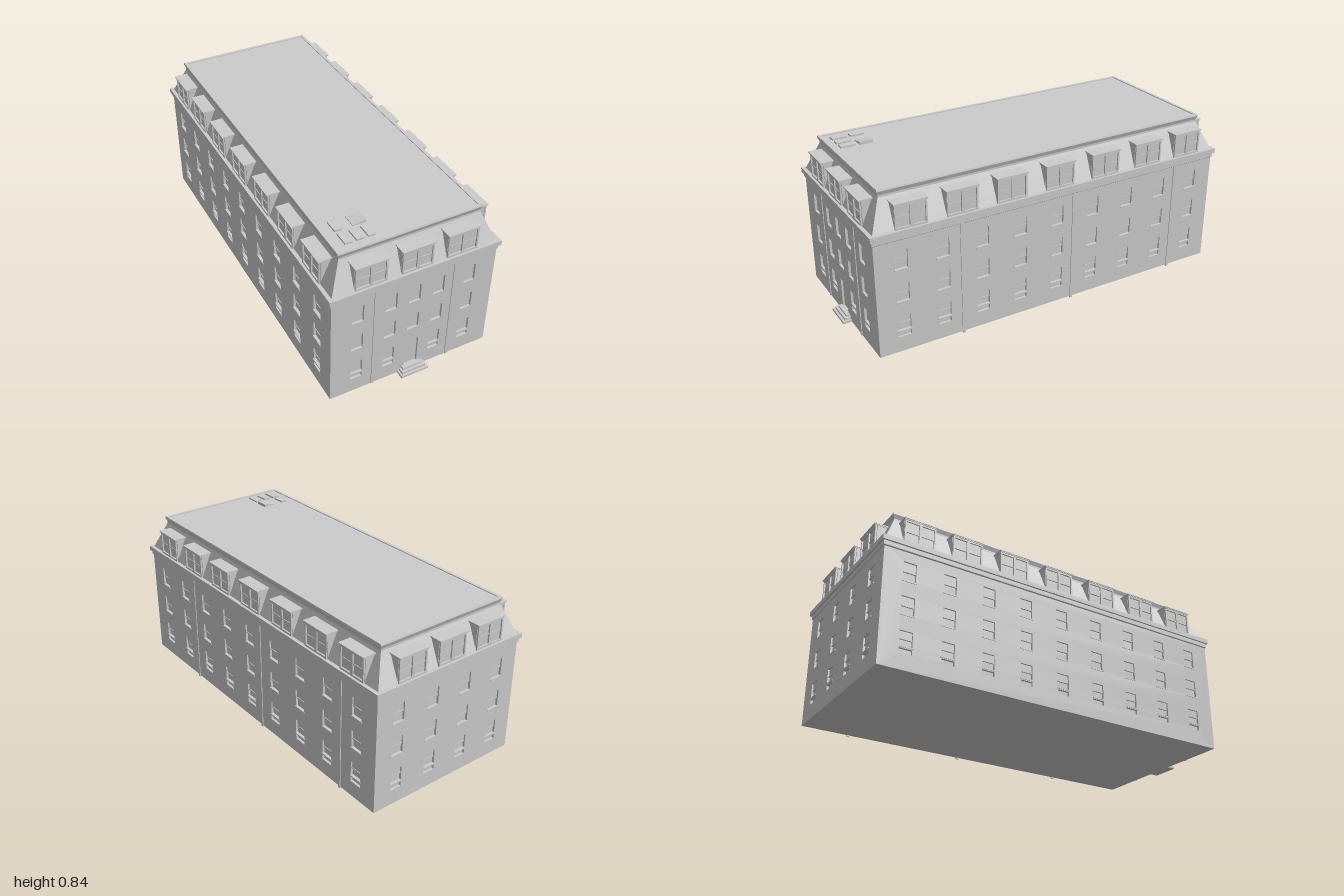
import * as THREE from 'three';

const mat = new THREE.MeshStandardMaterial({ color: 0xcccccc, flatShading: true, side: THREE.DoubleSide });
const HX = 0.43, HZ = 0.97, CZ = -0.015;     // wall half sizes and centre in z
const BASE = 0.008, EAVES = 0.6, REVEAL = 0.012;

function add(parent, name, geometry) {
  const mesh = new THREE.Mesh(geometry, mat);
  mesh.name = name;
  parent.add(mesh);
  return mesh;
}

// box given by its limits on each axis
function block(parent, name, x0, x1, y0, y1, z0, z1) {
  const mesh = add(parent, name, new THREE.BoxGeometry(x1 - x0, y1 - y0, z1 - z0));
  mesh.position.set((x0 + x1) / 2, (y0 + y1) / 2, (z0 + z1) / 2);
  return mesh;
}

function rectangle(Type, x0, x1, y0, y1) {
  const p = new Type();
  p.moveTo(x0, y0);
  p.lineTo(x1, y0);
  p.lineTo(x1, y1);
  p.lineTo(x0, y1);
  p.closePath();
  return p;
}

// flat panel with rectangular openings, its outer face at z = front
function panel(parent, name, outline, holes, depth, front) {
  const shape = rectangle(THREE.Shape, ...outline);
  for (const h of holes) shape.holes.push(rectangle(THREE.Path, ...h));
  const geo = new THREE.ExtrudeGeometry(shape, { depth, bevelEnabled: false });
  geo.translate(0, 0, front - depth);
  return add(parent, name, geo);
}

// rectangular rings [half width, y] joined by quads and capped on top
function ringStack(profile) {
  const pos = [];
  const corners = ([h, y]) => [[-1, 1], [1, 1], [1, -1], [-1, -1]]
    .map(([sx, sz]) => [sx * h, y, CZ + sz * (h + HZ - HX)]);
  const quad = (a, b, c, d) => pos.push(...a, ...b, ...c, ...a, ...c, ...d);
  for (let i = 0; i < profile.length - 1; i++) {
    const lo = corners(profile[i]), hi = corners(profile[i + 1]);
    for (let k = 0; k < 4; k++) quad(lo[k], lo[(k + 1) % 4], hi[(k + 1) % 4], hi[k]);
  }
  quad(...corners(profile[profile.length - 1]));
  const geo = new THREE.BufferGeometry();
  geo.setAttribute('position', new THREE.Float32BufferAttribute(pos, 3));
  geo.computeVertexNormals();
  return geo;
}

const floors = [[0.122, 0.197], [0.277, 0.368], [0.447, 0.543]];
const basement = [0.088, 0.112];

// one facade, built facing +z with its outer face at z = 0
function facade(name, halfWidth, columns, { width = 0.06, door = false, rails = true } = {}) {
  const wall = new THREE.Group();
  wall.name = name;
  const holes = [];
  for (const u of columns) {
    const isDoor = door && u === 0;
    const x0 = u - width / 2, x1 = u + width / 2;
    floors.forEach(([y0, y1], level) => {
      if (isDoor && level === 0) return;
      holes.push([x0, x1, y0, y1]);
      const mid = (y0 + y1) / 2;
      if (rails) {
        block(wall, 'meetingRail', x0, x1, mid - 0.003, mid + 0.003, -REVEAL, -0.005);
        block(wall, 'upperSash', x0, x1, mid, y1, -REVEAL, -0.008);
        block(wall, 'windowSill', x0 - 0.004, x1 + 0.004, y0 - 0.006, y0, -0.004, 0.003);
      }
    });
    if (!isDoor) holes.push([x0, x1, ...basement]);
  }
  if (door) holes.push([-0.033, 0.037, 0.042, 0.197]);
  panel(wall, 'wallPanel', [-halfWidth, halfWidth, BASE, EAVES], holes, REVEAL, 0);
  return wall;
}

function downpipe(parent, u, bottom) {
  block(parent, 'downpipe', u - 0.007, u + 0.007, bottom, EAVES, -0.004, 0.004);
}

// flat-roofed dormer with a pair of sash windows, facing +z
function dormer(u) {
  const g = new THREE.Group();
  g.name = 'dormer';
  const w = 0.08, y0 = 0.645, y1 = 0.765;
  const panes = [[-0.072, -0.006, 0.655, 0.757], [0.008, 0.072, 0.655, 0.757]];
  block(g, 'dormerBody', -w, w, y0, y1, -0.062, -0.008);
  panel(g, 'dormerFrame', [-w, w, y0, y1], panes, 0.008, 0.002);
  for (const [x0, x1] of panes) {
    block(g, 'dormerRail', x0, x1, 0.702, 0.708, -0.008, -0.002);
    block(g, 'dormerUpperSash', x0, x1, 0.705, 0.757, -0.008, -0.005);
  }
  block(g, 'dormerMoulding', -w - 0.002, w + 0.002, y1, 0.77, -0.062, 0.005);
  block(g, 'dormerRoof', -w - 0.005, w + 0.005, 0.77, 0.775, -0.062, 0.008);
  g.position.x = u;
  return g;
}

export function createModel() {
  const model = new THREE.Group();
  model.name = 'mansardBuilding';

  // solid core, seen as the glass behind the window openings
  block(model, 'core', -HX + REVEAL, HX - REVEAL, BASE, EAVES,
    CZ - HZ + REVEAL, CZ + HZ - REVEAL);

  // facades
  const sideColumns = Array.from({ length: 9 }, (_, i) => (i - 4) * 0.2095);
  const front = facade('frontWall', HX, [-0.295, -0.124, 0, 0.126, 0.293], { door: true, rails: false });
  const back = facade('backWall', HX, [-0.305, -0.1, 0.1, 0.305], { width: 0.065 });
  const left = facade('leftWall', HZ - REVEAL, sideColumns, { width: 0.066 });
  const right = facade('rightWall', HZ - REVEAL, sideColumns, { width: 0.066 });

  // downpipes on the front and on the +x side
  for (const u of [-0.207, 0.207]) downpipe(front, u, BASE);
  for (const z of [0.516, -0.107, -0.74]) downpipe(left, CZ - z, 0);

  // dormers
  for (const wall of [front, back]) {
    for (const u of [-0.235, 0, 0.235]) wall.add(dormer(u));
  }
  const dormerZ = [0.763, 0.505, 0.243, -0.026, -0.293, -0.557, -0.81];
  for (const z of dormerZ) {
    left.add(dormer(CZ - z));
    right.add(dormer(z - CZ));
  }

  // turn each facade to its side
  front.position.z = CZ + HZ;
  back.position.z = CZ - HZ;
  back.rotation.y = Math.PI;
  left.position.set(HX, 0, CZ);
  left.rotation.y = Math.PI / 2;
  right.position.set(-HX, 0, CZ);
  right.rotation.y = -Math.PI / 2;
  model.add(front, back, left, right);

  // eaves cornice, then mansard slope with its upper cornice and sunken deck
  add(model, 'eavesCornice', ringStack([
    [0.428, 0.592], [0.435, 0.598], [0.435, 0.62], [0.444, 0.62], [0.444, 0.645]]));
  add(model, 'mansardRoof', ringStack([
    [0.425, 0.645], [0.362, 0.79], [0.362, 0.8], [0.37, 0.82], [0.368, 0.828],
    [0.352, 0.828], [0.352, 0.824]]));

  // door and entrance steps
  block(model, 'door', -0.033, 0.037, 0.042, 0.197, 0.94, 0.945);
  const steps = [[0.074, 0.008, 0.02, 1.0], [0.064, 0.02, 0.032, 0.988], [0.054, 0.032, 0.042, 0.975]];
  for (const [w, y0, y1, z] of steps) {
    block(model, 'entranceStep', 0.006 - w, 0.006 + w, y0, y1, 0.95, z);
  }

  // roof units
  const units = [[-0.31, 0.775, 0.85], [-0.253, 0.775, 0.85], [-0.195, 0.775, 0.85], [-0.31, 0.685, 0.755]];
  for (const [x, z0, z1] of units) block(model, 'roofUnit', x, x + 0.037, 0.82, 0.833, z0, z1);

  // sloping roof hatch
  const wedge = new THREE.Shape([[-0.22, 0.82], [-0.155, 0.82], [-0.155, 0.839], [-0.22, 0.828]]
    .map(([x, y]) => new THREE.Vector2(x, y)));
  const hatch = add(model, 'roofHatch', new THREE.ExtrudeGeometry(wedge, { depth: 0.07, bevelEnabled: false }));
  hatch.position.z = 0.685;

  return model;
}
